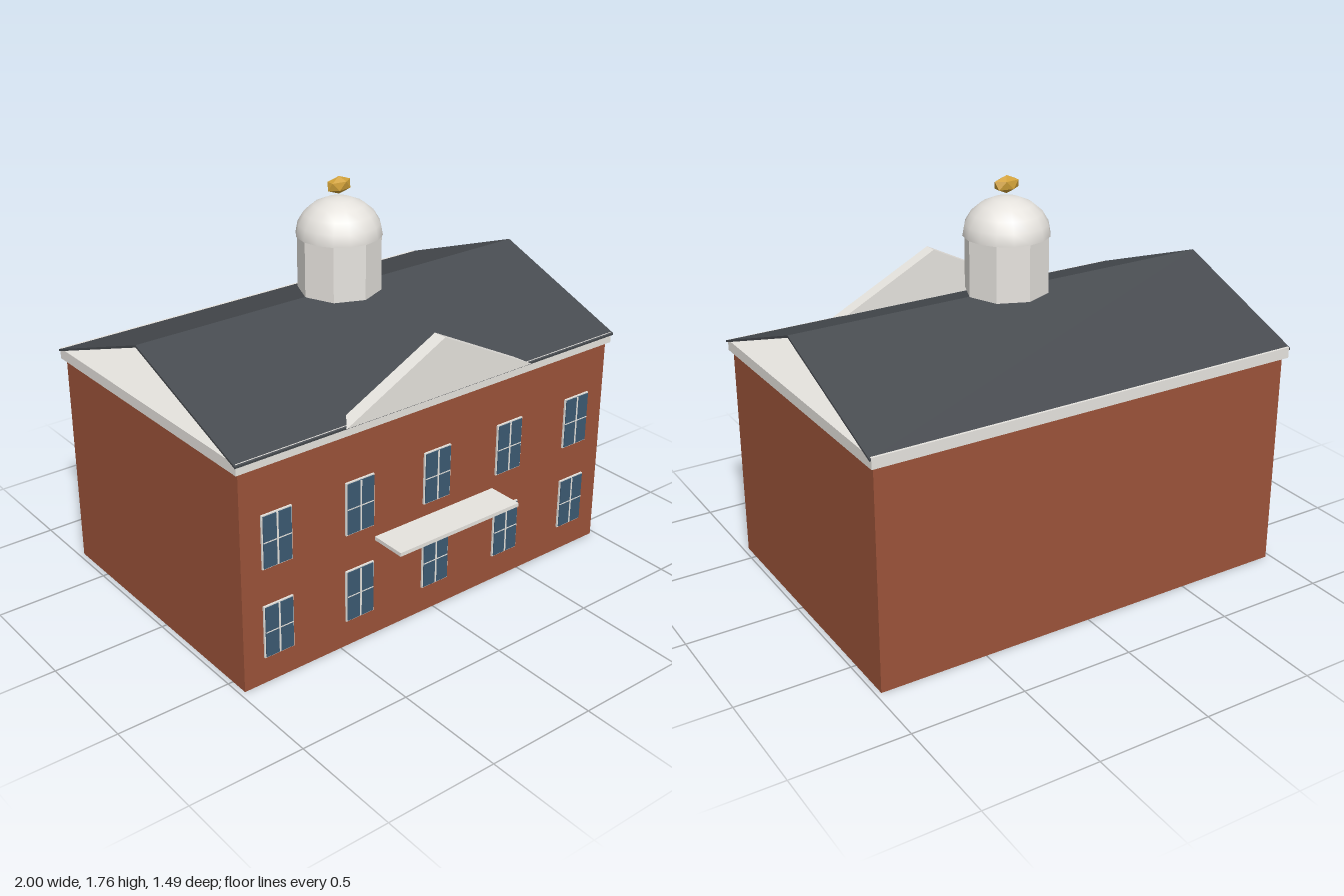
import * as THREE from 'three';

const material = (name, color) => {
  const m = new THREE.MeshStandardMaterial({ color });
  m.name = name;
  return m;
};

export function createModel() {
  const brick = material('brick', 0x9b5339);
  const stone = material('stone', 0xe6e3de);
  const slate = material('slate', 0x474b50);
  const glass = material('glass', 0x3c5a72);
  const gold = material('gold', 0xd0a038);
  const darkBase = material('darkBase', 0x38291f);
  gold.flatShading = true;

  const model = new THREE.Group();
  model.name = 'townHall';

  const add = (parent, name, geometry, mat, x = 0, y = 0, z = 0) => {
    const mesh = new THREE.Mesh(geometry, mat);
    mesh.name = name;
    mesh.position.set(x, y, z);
    parent.add(mesh);
    return mesh;
  };
  // Box given by its min and max corners
  const box = (parent, name, mat, x0, x1, y0, y1, z0, z1) =>
    add(parent, name, new THREE.BoxGeometry(x1 - x0, y1 - y0, z1 - z0), mat,
      (x0 + x1) / 2, (y0 + y1) / 2, (z0 + z1) / 2);
  const outline = (points) => new THREE.Shape(points.map(([x, y]) => new THREE.Vector2(x, y)));

  const midZ = -0.066, wallZ = 0.585;

  // Walls with a dark underside, and cornice
  box(model, 'walls', [brick, brick, brick, darkBase, brick, brick],
    -0.977, 0.977, 0, 0.978, -0.717, wallZ);
  box(model, 'cornice', stone, -0.993, 0.993, 0.978, 1.026, -0.738, 0.6);

  // Two thin roof slopes with open gable ends, eaves sunk into the cornice
  const roof = new THREE.ExtrudeGeometry(outline([
    [0.606, 1.013], [0.607, 1.022], [midZ, 1.272], [-0.738, 1.022], [-0.737, 1.013], [midZ, 1.262],
  ]), { depth: 2, bevelEnabled: false });
  roof.translate(0, 0, -1).rotateY(-Math.PI / 2);
  add(model, 'roof', roof, slate);

  // Triangular pediment over the front eave
  add(model, 'pediment', new THREE.ExtrudeGeometry(
    outline([[-0.49, 1.02], [0.49, 1.02], [0, 1.27]]),
    { depth: 0.062, bevelEnabled: false }), stone, 0, 0, 0.553);

  // Entrance canopy
  box(model, 'canopy', stone, -0.324, 0.324, 0.451, 0.468, wallZ - 0.005, 0.748);

  // Windows: glass standing just proud of a slim frame, with crossed bars
  const addWindow = (x, y) => {
    const w = new THREE.Group();
    w.name = 'window';
    w.position.set(x, y, wallZ);
    const hw = 0.071, hh = 0.119, t = 0.005;
    box(w, 'frame', stone, -hw, hw, -hh, hh, 0, 0.008);
    box(w, 'glass', glass, -hw + t, hw - t, -hh + t, hh - t, 0.004, 0.0125);
    box(w, 'uprightBar', stone, -0.004, 0.004, -hh + t, hh - t, 0.008, 0.0138);
    box(w, 'crossBar', stone, -hw + t, hw - t, -0.0025, 0.0025, 0.008, 0.0134);
    model.add(w);
  };
  for (const x of [-0.811, -0.406, 0, 0.406, 0.811])
    for (const y of [0.242, 0.648]) addWindow(x, y);

  // Cupola: eight-sided drum, dome and finial
  const cupola = new THREE.Group();
  cupola.name = 'cupola';
  cupola.position.z = midZ;
  model.add(cupola);
  const drum = new THREE.CylinderGeometry(0.18, 0.18, 0.247, 8).toNonIndexed();
  drum.computeVertexNormals();
  add(cupola, 'drum', drum, stone, 0, 1.3935, 0);

  const dome = add(cupola, 'dome',
    new THREE.SphereGeometry(0.185, 16, 5, 0, Math.PI * 2, 0, Math.PI / 2), stone, 0, 1.515, 0);
  dome.scale.y = 0.86;

  // Faceted finial, turned before being flattened
  const finial = add(cupola, 'finial',
    new THREE.IcosahedronGeometry(1, 0).rotateZ(-0.55), gold, 0, 1.726, 0);
  finial.scale.set(0.064, 0.038, 0.033);

  return model;
}
